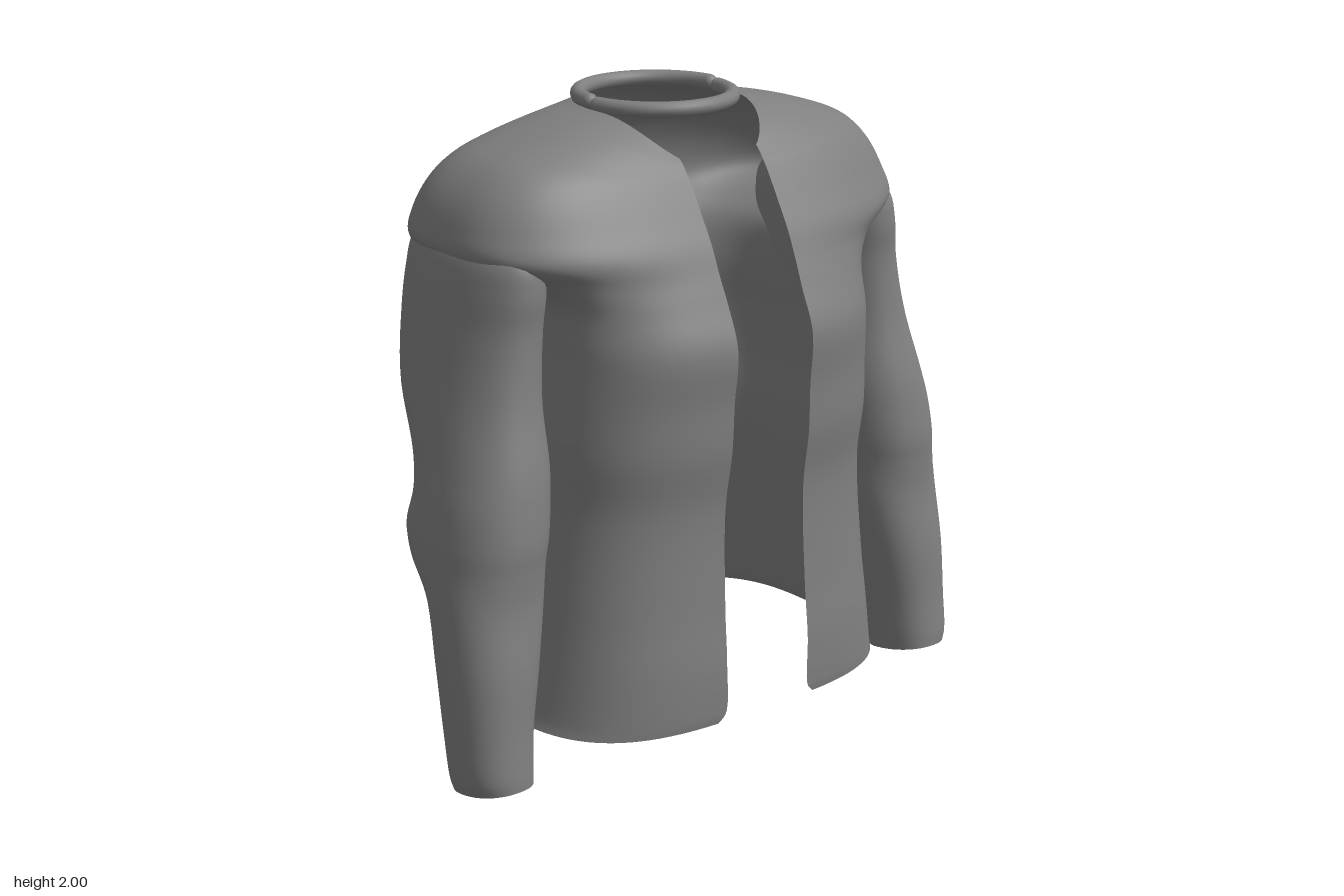
import * as THREE from 'three';

const fabric = new THREE.MeshStandardMaterial({ color: 0x7f7f7f, side: THREE.DoubleSide });
fabric.name = 'grey fabric';

// Skins a list of equal-length rings, smoothing along each column with a spline
function loft(rings, steps, closed) {
  const n = rings[0].length;
  const pos = [], index = [];
  const columns = rings[0].map((_, j) =>
    new THREE.CatmullRomCurve3(rings.map((r) => r[j]), false, 'centripetal').getPoints(steps));
  for (let i = 0; i <= steps; i++) {
    for (let j = 0; j < n; j++) pos.push(...columns[j][i].toArray());
  }
  for (let i = 0; i < steps; i++) {
    for (let j = 0; j < (closed ? n : n - 1); j++) {
      const k = (j + 1) % n;
      const a = i * n + j, b = i * n + k, c = a + n, d = b + n;
      index.push(a, b, c, b, d, c);
    }
  }
  const g = new THREE.BufferGeometry();
  g.setAttribute('position', new THREE.Float32BufferAttribute(pos, 3));
  g.setIndex(index);
  g.computeVertexNormals();
  return g;
}

const pow = (v, p) => Math.sign(v) * Math.abs(v) ** p;

// Torso section: open at the front, rounded-box outline with its own roundness
// in front (pf) and back (pb); height varies front / side / back
function torsoRing({ yf, ys, yb, hw, zf, zb, open, pf, pb, zc }) {
  const pts = [], N = 96;
  const a0 = Math.asin((open / hw) ** (1 / pf));
  const c0 = Math.cos(a0);
  for (let i = 0; i <= N; i++) {
    const a = a0 + (i / N) * 2 * (Math.PI - a0);
    const c = Math.cos(a), front = c > 0;
    const w = front ? c / c0 : c;
    const p = front ? pf : pb;
    const z = zc + (front ? zf - zc : zc - zb) * pow(w, p);
    const y = ys + ((front ? yf : yb) - ys) * w * w;
    pts.push(new THREE.Vector3(hw * pow(Math.sin(a), p), y, z));
  }
  return pts;
}

function makeTorso() {
  // Hem to armpit: y, halfWidth, zFront, zBack
  const body = [
    [0.13, 0.665, 0.54, -0.56],
    [0.16, 0.655, 0.545, -0.55],
    [0.32, 0.63, 0.545, -0.52],
    [0.50, 0.61, 0.53, -0.48],
    [0.82, 0.585, 0.52, -0.43],
    [1.00, 0.59, 0.545, -0.435],
    [1.15, 0.585, 0.55, -0.45],
    [1.32, 0.575, 0.56, -0.435],
    [1.45, 0.59, 0.51, -0.455],
  ].map(([y, hw, zf, zb], k) => ({
    yf: y, ys: y, yb: y - (k < 2 ? 0.03 - 0.01 * k : 0), hw, zf, zb, pf: 0.62, pb: 0.7, zc: 0,
    // The opening widens downward and its bottom corner is rounded
    open: 0.145 + 0.022 * Math.max(0, (1.4 - y) / 1.2) + (k === 0 ? 0.025 : 0),
  }));
  // Shoulders to neck edge: yFront, ySide, yBack, halfWidth, zFront, zBack
  const yoke = [
    [1.53, 1.53, 1.53, 0.67, 0.475, -0.465],
    [1.61, 1.61, 1.61, 0.798, 0.44, -0.463],
    [1.69, 1.69, 1.69, 0.787, 0.395, -0.445],
    [1.75, 1.78, 1.77, 0.743, 0.36, -0.405],
    [1.79, 1.85, 1.82, 0.67, 0.335, -0.37],
    [1.81, 1.895, 1.87, 0.56, 0.32, -0.335],
    [1.83, 1.94, 1.91, 0.38, 0.305, -0.31],
    [1.845, 1.958, 1.945, 0.255, 0.29, -0.28],
  ].map(([yf, ys, yb, hw, zf, zb], k) => ({
    yf, ys, yb, hw, zf, zb, open: 0.148,
    pf: 0.68 + 0.1 * (k / 7) ** 2, // rounder towards the neck
    pb: 0.69 + 0.31 * (k / 7) ** 3,
    zc: 0.03 * (k / 7) ** 2,
  }));
  const torso = new THREE.Mesh(loft([...body, ...yoke].map(torsoRing), 90, false), fabric);
  torso.name = 'openJacketBody';
  return torso;
}

// Sleeve on one side, from the open, slanted cuff up to inside the shoulder
function makeSleeve(side) {
  // y, xInner, xOuter, zBack, zFront
  const sections = [
    [0.03, 0.75, 0.96, 0.15, 0.413],
    [0.07, 0.745, 0.972, 0.145, 0.412],
    [0.20, 0.73, 0.976, 0.12, 0.40],
    [0.40, 0.69, 0.976, 0.075, 0.39],
    [0.60, 0.645, 0.97, 0.015, 0.367],
    [0.71, 0.625, 0.965, -0.09, 0.37],
    [0.79, 0.61, 0.96, -0.122, 0.375],
    [0.90, 0.60, 0.942, -0.10, 0.365],
    [1.00, 0.59, 0.92, -0.13, 0.35],
    [1.20, 0.58, 0.88, -0.25, 0.305],
    [1.40, 0.565, 0.842, -0.285, 0.29],
    [1.52, 0.56, 0.82, -0.285, 0.30],
    [1.61, 0.565, 0.796, -0.27, 0.285],
    [1.70, 0.58, 0.74, -0.18, 0.17],
  ];
  const N = 40;
  const rings = sections.map(([y, x0, x1, z0, z1]) => Array.from({ length: N }, (_, j) => {
    const a = (j / N) * Math.PI * 2 * side;
    const s = pow(Math.sin(a), 0.88), c = pow(Math.cos(a), 0.88);
    const slant = 0.028 * Math.max(0, 1 - y / 0.6);
    return new THREE.Vector3(
      side * ((x0 + x1) / 2 + ((x1 - x0) / 2) * s), y + slant * c, (z0 + z1) / 2 + ((z1 - z0) / 2) * c);
  }));
  const sleeve = new THREE.Mesh(loft(rings, 70, true), fabric);
  sleeve.name = side > 0 ? 'leftSleeve' : 'rightSleeve';
  return sleeve;
}

// Half of the neck ring, with rounded ends
function makeHalfRing(front) {
  const half = new THREE.Group();
  half.name = front ? 'frontCollarRing' : 'backCollarRing';
  const R = 0.235, r = 0.024, gap = 0.09, sign = front ? 1 : -1;
  const arc = new THREE.Mesh(new THREE.TorusGeometry(R, r, 14, 48, Math.PI - 2 * gap), fabric);
  arc.rotation.set(sign * Math.PI / 2, 0, gap);
  arc.name = 'ringArc';
  half.add(arc);
  for (const s of [-1, 1]) {
    const end = new THREE.Mesh(new THREE.SphereGeometry(r, 14, 10), fabric);
    end.position.set(s * R * Math.cos(gap), 0, sign * R * Math.sin(gap));
    end.name = 'ringEnd';
    half.add(end);
  }
  half.position.set(front ? -0.002 : 0.002, front ? 1.972 : 1.976, front ? -0.008 : -0.012);
  return half;
}

export function createModel() {
  const model = new THREE.Group();
  model.name = 'jacket';
  model.add(makeTorso(), makeSleeve(1), makeSleeve(-1), makeHalfRing(true), makeHalfRing(false));
  return model;
}
